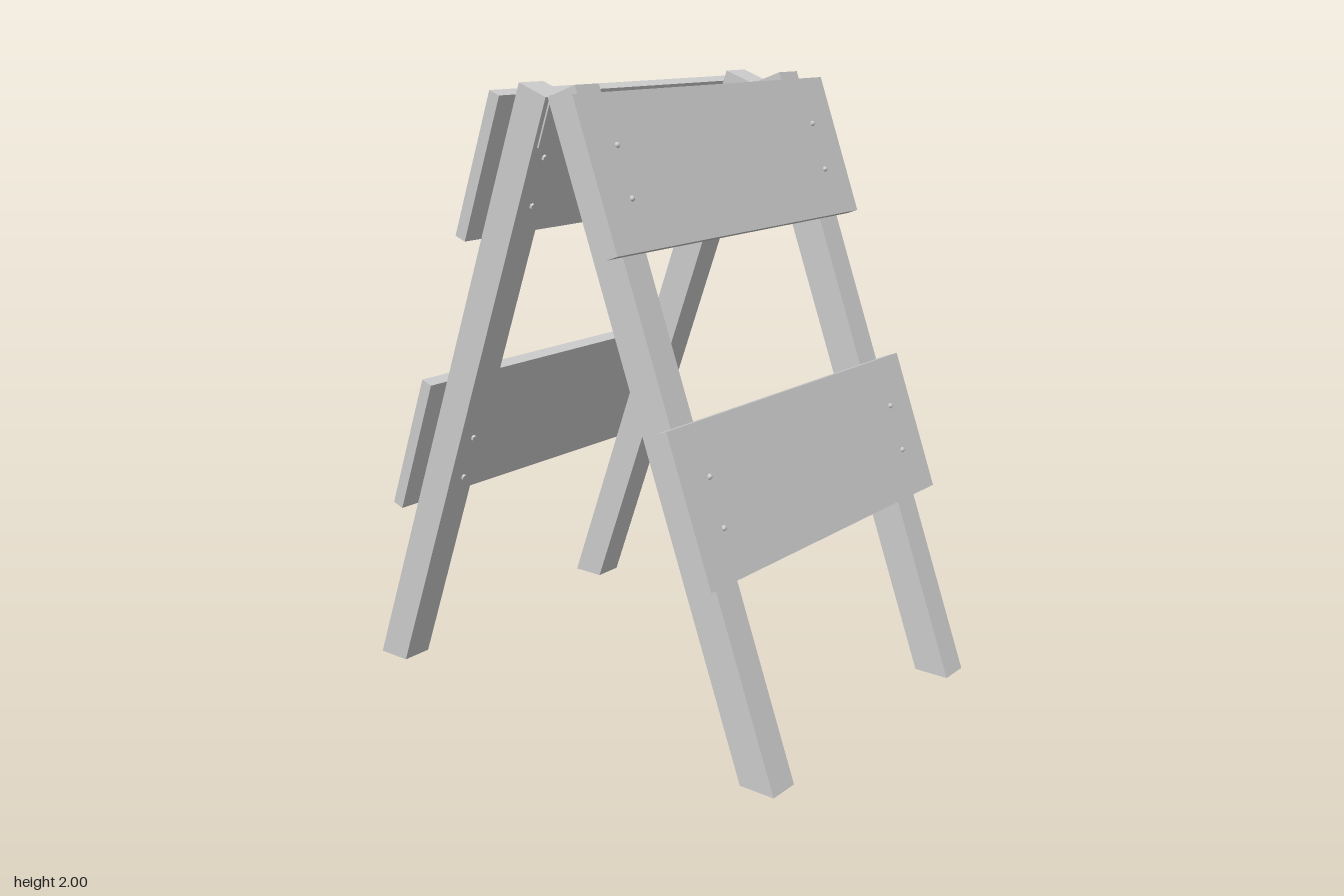
import * as THREE from 'three';

const TILT = THREE.MathUtils.degToRad(20);
const TOP = 1.96;        // height of the inner top edge of each leg
const LEG_X = 0.517, LEG_W = 0.105, LEG_D = 0.113;
const BOARD_D = 0.042;

const material = new THREE.MeshStandardMaterial({ color: 0xcccccc, flatShading: true });

function add(parent, name, geometry, x = 0, y = 0, z = 0) {
  const mesh = new THREE.Mesh(geometry, material);
  mesh.name = name;
  mesh.position.set(x, y, z);
  parent.add(mesh);
  return mesh;
}

// Leg profile: square at the top, cut level with the ground at the foot
function legGeometry() {
  const foot = z => -(TOP + z * Math.sin(TILT)) / Math.cos(TILT);
  const profile = new THREE.Shape([
    new THREE.Vector2(0, 0),
    new THREE.Vector2(0, foot(0)),
    new THREE.Vector2(LEG_D, foot(LEG_D)),
    new THREE.Vector2(LEG_D, 0),
  ]);
  const geometry = new THREE.ExtrudeGeometry(profile, { depth: LEG_W, bevelEnabled: false });
  geometry.translate(0, 0, -LEG_W / 2);
  return geometry.rotateY(-Math.PI / 2);
}

// One tilted side, local y running up the leg and local z pointing outward
function createPanel(name) {
  const panel = new THREE.Group();
  panel.name = name;
  panel.position.set(0, TOP, 0.004);
  panel.rotation.x = -TILT;

  // Upper and lower boards
  const board = new THREE.BoxGeometry(1.28, 0.473, BOARD_D);
  add(panel, 'upperBoard', board, 0, -0.274, LEG_D + BOARD_D / 2);
  add(panel, 'lowerBoard', board, 0, -1.258, LEG_D + BOARD_D / 2);

  const leg = legGeometry();
  const leaf = new THREE.BoxGeometry(0.07, 0.15, 0.006);
  const head = new THREE.SphereGeometry(0.009, 10, 4, 0, Math.PI * 2, 0, Math.PI / 2)
    .rotateX(Math.PI / 2);
  const nut = new THREE.CylinderGeometry(0.01, 0.01, 0.009, 6).rotateX(Math.PI / 2);

  for (const side of [-1, 1]) {
    add(panel, 'leg', leg, side * LEG_X, 0, 0);
    add(panel, 'hingeLeaf', leaf, side * LEG_X, -0.085, -0.003);
    // Bolts through board and leg
    for (const y of [-0.195, -0.354, -1.184, -1.338]) {
      add(panel, 'boltHead', head, side * 0.51, y, LEG_D + BOARD_D);
      add(panel, 'boltNut', nut, side * 0.51, y, -0.004);
    }
  }
  return panel;
}

export function createModel() {
  const model = new THREE.Group();
  model.name = 'foldingBarricade';

  const front = createPanel('frontPanel');
  model.add(front);

  const back = new THREE.Group();
  back.name = 'backSide';
  back.rotation.y = Math.PI;
  back.add(createPanel('backPanel'));
  model.add(back);

  // Hinge pins between the leg tops
  const pin = new THREE.CylinderGeometry(0.008, 0.008, 0.07, 10).rotateZ(Math.PI / 2);
  for (const side of [-1, 1]) add(model, 'hingePin', pin, side * LEG_X, TOP - 0.002, 0);

  return model;
}
